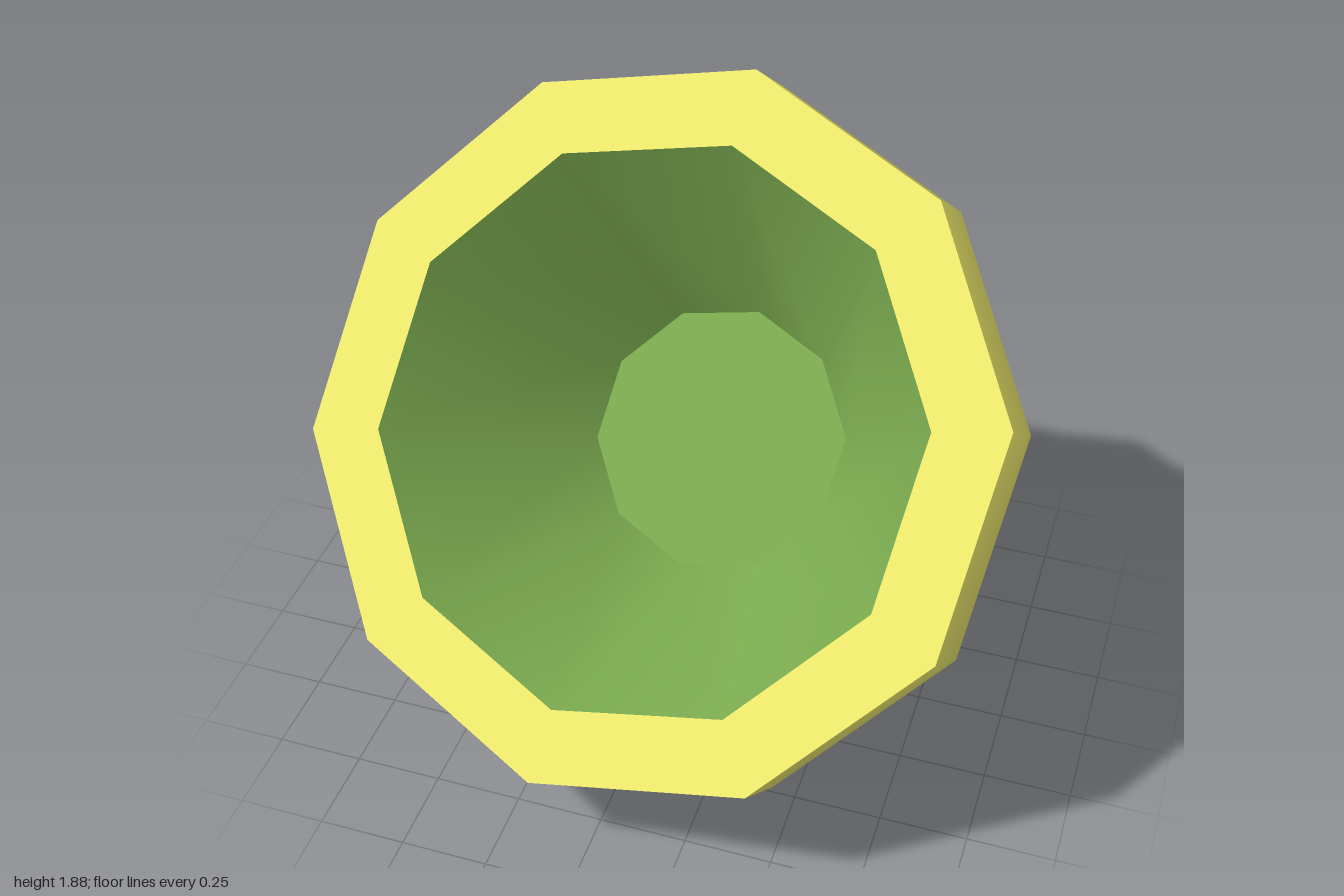
import * as THREE from 'three';

const SIDES = 10;
const yellow = new THREE.MeshStandardMaterial({ color: 0xf2ee6e, side: THREE.DoubleSide });
const green = new THREE.MeshStandardMaterial({ color: 0x7cac50, side: THREE.DoubleSide });

// Revolve [radius, height] points, listed bottom to top for an outer skin
function lathe(name, points, material) {
  const profile = points.map(([r, y]) => new THREE.Vector2(r, y));
  const mesh = new THREE.Mesh(new THREE.LatheGeometry(profile, SIDES), material);
  mesh.name = name;
  return mesh;
}

export function createModel() {
  const group = new THREE.Group();
  const bowl = new THREE.Group();
  bowl.name = 'bowl';

  // Rounded outer shell, opening upward in its own frame
  bowl.add(lathe('shell', [
    [0, -1.2], [0.2, -1.175], [0.38, -1.1], [0.715, -0.845], [0.82, -0.54], [0.795, -0.22], [0.78, -0.15],
  ], yellow));

  // Thick collar: smooth side and back, flat front ring
  bowl.add(lathe('collar', [[0.77, -0.225], [1.005, -0.225], [1.005, 0]], yellow));
  bowl.add(lathe('collarFace', [[1.005, 0], [0.795, 0]], yellow));

  // Tapered hollow with a flat floor
  bowl.add(lathe('innerWall', [[0.795, 0], [0.39, -0.62]], green));
  bowl.add(lathe('innerFloor', [[0.39, -0.62], [0, -0.62]], green));

  // Slightly flared stub at the base
  bowl.add(lathe('stub', [[0.23, -1.42], [0.195, -1.1]], yellow));
  bowl.add(lathe('stubEnd', [[0, -1.42], [0.23, -1.42]], yellow));

  // Tip the bowl so its opening faces forward and up
  const up = new THREE.Vector3(-0.116, 0.604, 0.788).normalize();
  const side = new THREE.Vector3().crossVectors(up, new THREE.Vector3(0.13, 0.8, -0.594)).normalize();
  const corner = new THREE.Vector3().crossVectors(side, up);
  bowl.quaternion.setFromRotationMatrix(new THREE.Matrix4().makeBasis(side, up, corner));
  bowl.position.set(-0.013, 1.091, 0.324);

  group.add(bowl);
  return group;
}
